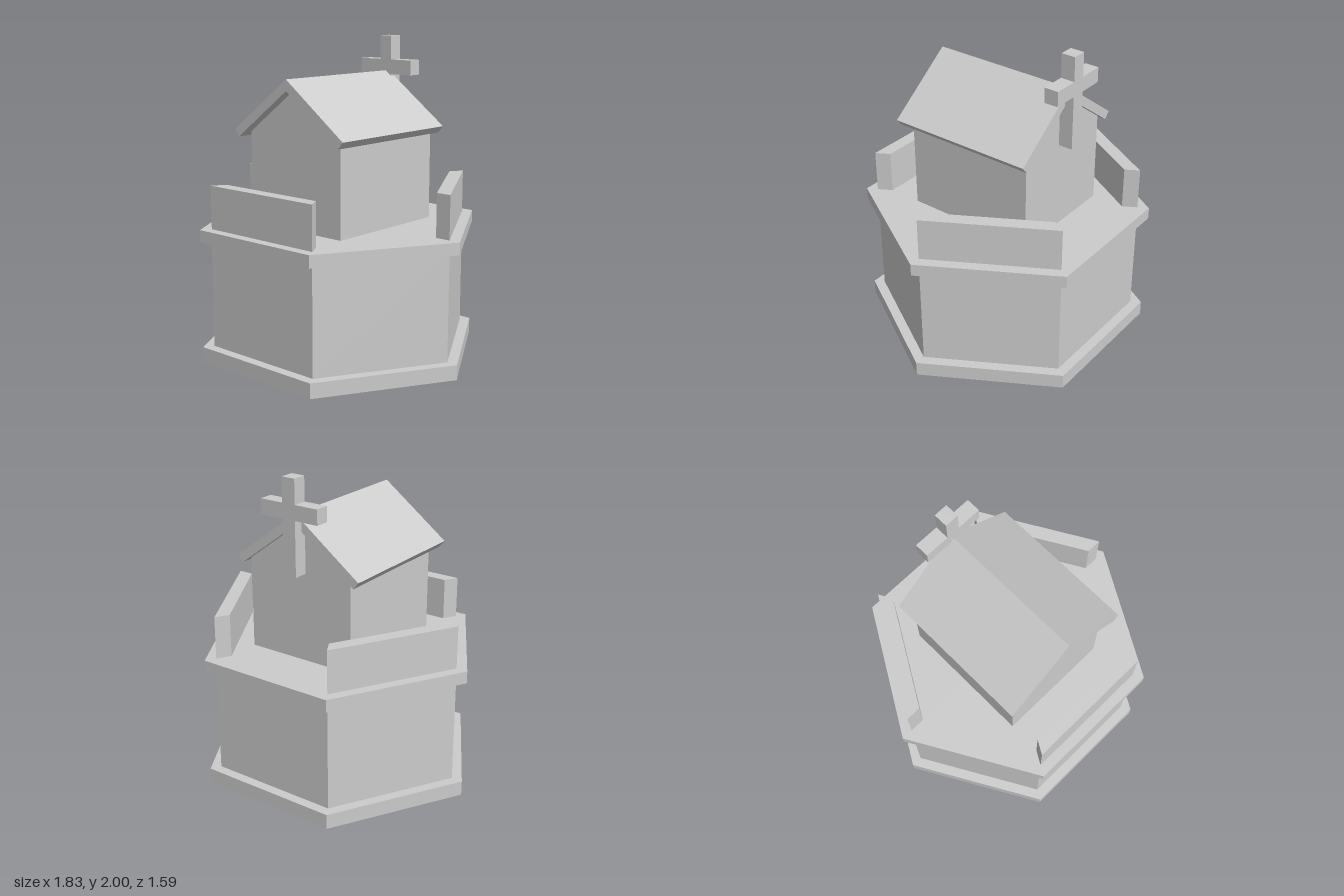
import * as THREE from 'three';

const material = new THREE.MeshStandardMaterial({ color: 0xcccccc, flatShading: true });

function add(parent, name, geometry, x = 0, y = 0, z = 0) {
  const mesh = new THREE.Mesh(geometry, material);
  mesh.name = name;
  mesh.position.set(x, y, z);
  parent.add(mesh);
  return mesh;
}

// Extrudes an outline given in x, y along z, from z = 0
function extrude(points, depth) {
  const shape = new THREE.Shape(points.map(([x, y]) => new THREE.Vector2(x, y)));
  return new THREE.ExtrudeGeometry(shape, { depth, bevelEnabled: false });
}

// Six-sided drum with corners on the x axis
function hexDrum(parent, name, radius, y0, y1) {
  const geometry = new THREE.CylinderGeometry(radius, radius, y1 - y0, 6, 1, false, Math.PI / 2);
  add(parent, name, geometry, 0, (y0 + y1) / 2, 0);
}

export function createModel() {
  const group = new THREE.Group();
  group.name = 'hexagonalChapel';

  // Hexagonal tower
  hexDrum(group, 'basePlinth', 0.917, 0, 0.095);
  hexDrum(group, 'towerBody', 0.845, 0.095, 0.77);
  hexDrum(group, 'terraceSlab', 0.917, 0.77, 0.848);

  // Mitred parapets on every second side
  const parapet = extrude([[-0.422, -0.73], [0.422, -0.73], [0.373, -0.645], [-0.373, -0.645]], 0.272);
  parapet.rotateX(-Math.PI / 2);
  for (let i = 0; i < 3; i++) {
    add(group, 'parapet', parapet, 0, 0.848, 0).rotation.y = (i * Math.PI * 2) / 3;
  }

  // Gabled house
  const house = [[-0.37, 0.848], [0.37, 0.848], [0.37, 1.43], [0, 1.708], [-0.37, 1.43]];
  add(group, 'house', extrude(house, 0.86), 0, 0, -0.43);

  // Two-slope roof, overhanging more at the front
  const roof = [[0, 1.775], [-0.445, 1.443], [-0.41, 1.4], [0, 1.706], [0.41, 1.4], [0.445, 1.443]];
  add(group, 'roof', extrude(roof, 0.96), 0, 0, -0.463);

  // Cross on the rear gable
  const [a, b] = [0.045, 0.204];
  const cross = [
    [-a, 1.408], [a, 1.408], [a, 1.752], [b, 1.752], [b, 1.847], [a, 1.847],
    [a, 2], [-a, 2], [-a, 1.847], [-b, 1.847], [-b, 1.752], [-a, 1.752],
  ];
  add(group, 'cross', extrude(cross, 0.092), 0, 0, -0.522);

  return group;
}
